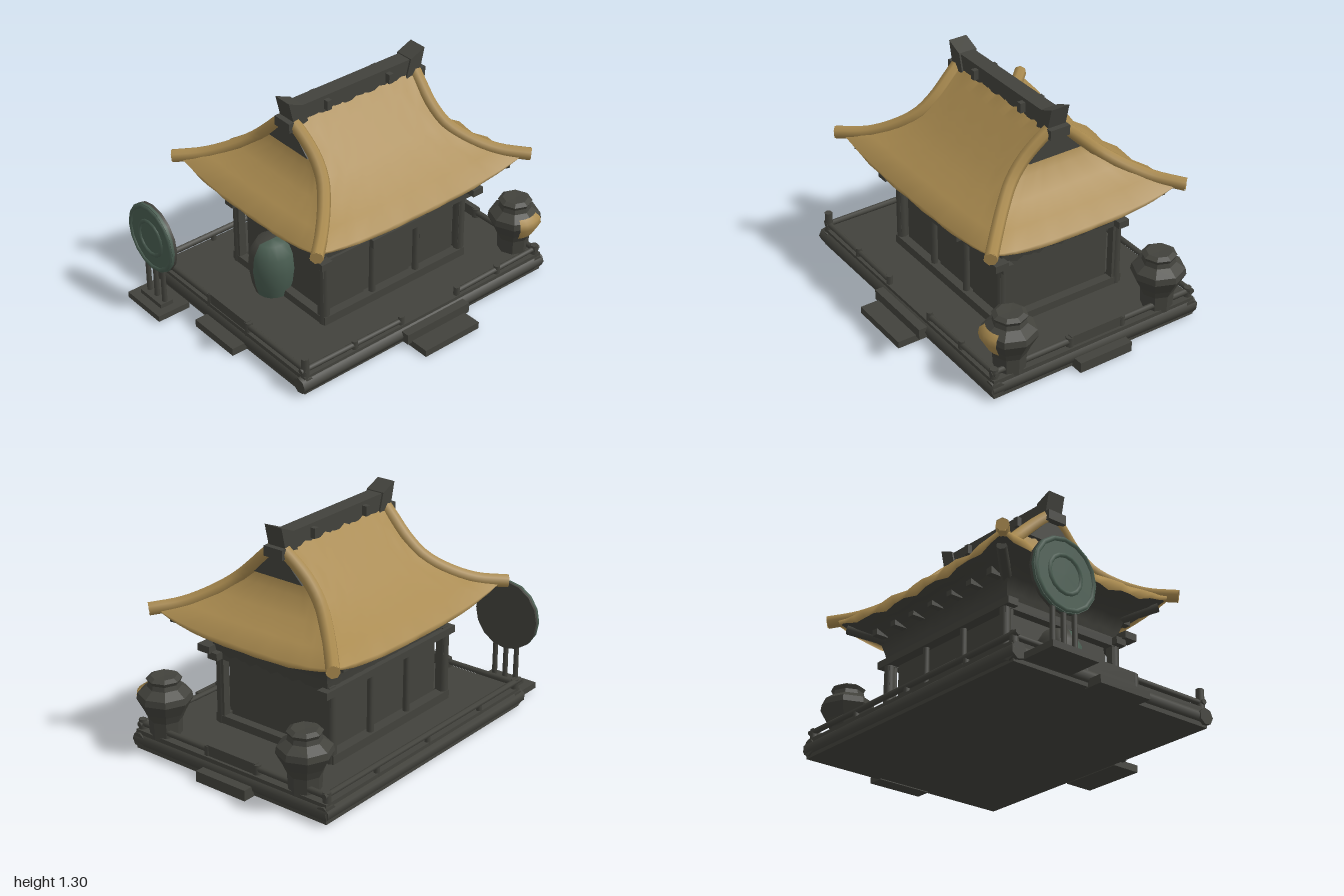
import * as THREE from 'three';

const dark = new THREE.MeshStandardMaterial({ color: 0x42423c, side: THREE.DoubleSide });
dark.name = 'charcoal timber';
const gold = new THREE.MeshStandardMaterial({ color: 0xa98a4f, side: THREE.DoubleSide });
gold.name = 'straw gold';
const green = new THREE.MeshStandardMaterial({ color: 0x485c50, side: THREE.DoubleSide });
green.name = 'bronze green';

const CX = 0.09, CZ = -0.08; // centre of the building

export function createModel() {
  const model = new THREE.Group();
  model.name = 'shrine';

  const add = (name, geometry, material, x = 0, y = 0, z = 0) => {
    const mesh = new THREE.Mesh(geometry, material);
    mesh.name = name;
    mesh.position.set(x, y, z);
    model.add(mesh);
    return mesh;
  };
  // Box given by its limits on each axis
  const box = (name, x0, x1, y0, y1, z0, z1) =>
    add(name, new THREE.BoxGeometry(x1 - x0, y1 - y0, z1 - z0), dark,
      (x0 + x1) / 2, (y0 + y1) / 2, (z0 + z1) / 2);
  // Round log between two points
  const log = (name, a, b, r) => {
    const p = new THREE.Vector3(...a), q = new THREE.Vector3(...b);
    const d = q.clone().sub(p);
    const mesh = add(name, new THREE.CylinderGeometry(r, r * 1.1, d.length(), 7), dark);
    mesh.position.copy(p).add(q).multiplyScalar(0.5);
    mesh.quaternion.setFromUnitVectors(new THREE.Vector3(0, 1, 0), d.normalize());
    return mesh;
  };
  // Four curved sides swept through rectangular levels [halfX, halfZ, y, cornerLift]
  const sweptSides = (name, levels, material, wobble) => {
    for (let k = 0; k < 4; k++) {
      const rows = levels.length - 1, cols = 16;
      const g = new THREE.PlaneGeometry(2, 1, cols, rows);
      const p = g.attributes.position;
      for (let i = 0; i < p.count; i++) {
        const u = p.getX(i);
        const row = Math.round((p.getY(i) + 0.5) * rows);
        const [hx, hz, y, lift = 0] = levels[row];
        const n = (1 - u ** 4) * wobble * Math.sin(u * 17 + k * 2.3 + row * 1.9);
        const ax = hx + n, az = hz + n;
        const x = [u * hx, ax, -u * hx, -ax][k];
        const z = [az, -u * hz, -az, u * hz][k];
        p.setXYZ(i, CX + x, y + lift * Math.abs(u) ** 3 + n * 0.8, CZ + z);
      }
      g.computeVertexNormals();
      add(name, g, material);
    }
  };

  // Deck, edge logs and steps
  box('deck', -0.77, 0.92, 0.005, 0.115, -0.72, 0.57);
  for (const z of [-0.7, 0.55]) log('deckEdge', [-0.79, 0.06, z], [0.93, 0.06, z], 0.042);
  for (const x of [-0.745, 0.895]) log('deckEdge', [x, 0.06, -0.73], [x, 0.06, 0.58], 0.042);
  box('frontStep', -0.09, 0.29, 0, 0.04, 0.57, 0.74);
  box('frontUpperStep', -0.12, 0.32, 0.03, 0.09, 0.56, 0.63);
  box('sideStep', -0.86, -0.75, 0, 0.045, -0.25, 0.08);
  box('sideStep', 0.9, 0.99, 0, 0.06, -0.25, 0.08);

  // Railings, open at the front steps
  const railY = 0.145;
  log('railBack', [-0.79, 0.155, -0.705], [0.92, 0.155, -0.705], 0.016);
  log('railFront', [-0.78, railY, 0.55], [-0.1, railY - 0.01, 0.55], 0.014);
  log('railFront', [0.3, railY - 0.01, 0.55], [0.92, railY, 0.55], 0.014);
  for (const x of [-0.75, 0.89]) {
    log('railSide', [x, railY, -0.71], [x, railY, -0.25], 0.016);
    log('railSide', [x, railY, 0.08], [x, railY, 0.57], 0.016);
    box('railGate', x - 0.015, x + 0.015, 0.1, 0.175, -0.25, 0.08);
    for (const z of [-0.7, -0.25, 0.08, 0.55]) {
      const top = z === 0.55 && x < 0 ? 0.22 : 0.17;
      log('railPost', [x, 0.05, z], [x, top, z], 0.022);
    }
  }
  for (const x of [-0.42, -0.1, 0.3, 0.6]) log('railPost', [x, 0.05, 0.55], [x, 0.165, 0.55], 0.018);
  for (const x of [-0.4, 0.07, 0.5]) log('railPost', [x, 0.05, -0.705], [x, 0.16, -0.705], 0.016);

  // Recessed house walls, with sills, posts and beams around them
  box('walls', -0.36, 0.52, 0.1, 0.68, -0.43, 0.25);
  for (const z of [-0.46, 0.28]) {
    box('sill', -0.42, 0.58, 0.11, 0.165, z - 0.03, z + 0.03);
    box('headBeam', -0.46, 0.63, 0.495, 0.535, z - 0.03, z + 0.035);
    for (const x of [-0.4, -0.07, 0.24, 0.56])
      log('wallPost', [x, 0.1, z], [x, 0.52, z], x === -0.4 || x === 0.56 ? 0.028 : 0.018);
  }
  for (const x of [-0.4, 0.56]) {
    box('sideSill', x - 0.025, x + 0.025, 0.11, 0.16, -0.46, 0.28);
    box('sideBeam', x - 0.025, x + 0.025, 0.49, 0.54, -0.47, 0.3);
    for (const z of [-0.45, 0.275]) box('sideJamb', x - 0.022, x + 0.022, 0.14, 0.5, z - 0.025, z + 0.025);
  }
  for (const x of [-0.235, 0.085, 0.4]) box('frontPanel', x - 0.12, x + 0.12, 0.17, 0.47, 0.25, 0.265);
  box('doorLintel', -0.12, 0.25, 0.495, 0.545, 0.3, 0.345);
  for (const x of [-0.45, 0.61]) box('beamEnd', x - 0.035, x + 0.035, 0.53, 0.57, 0.29, 0.37);
  sweptSides('frieze', [[0.49, 0.375, 0.5], [0.51, 0.385, 0.58], [0.535, 0.405, 0.66],
    [0.63, 0.51, 0.69, 0.03], [0.69, 0.57, 0.72, 0.05]], dark, 0.006);
  // Brackets under the eaves
  for (const sx of [-1, 1])
    for (const sz of [-1, 1])
      log('cornerBracket', [CX + sx * 0.5, 0.66, CZ + sz * 0.38], [CX + sx * 0.65, 0.73, CZ + sz * 0.54], 0.028);
  for (let i = 0; i < 7; i++) {
    const x = CX - 0.48 + i * 0.16;
    for (const s of [-1, 1]) box('eaveBracket', x - 0.02, x + 0.02, 0.655, 0.695, CZ + s * 0.43 - 0.05, CZ + s * 0.43 + 0.05);
  }

  // Thatched roof
  sweptSides('roof', [[0.7, 0.575, 0.695, 0.07], [0.715, 0.59, 0.735, 0.05], [0.61, 0.49, 0.795, 0.02],
    [0.5, 0.375, 0.865, 0.01], [0.425, 0.275, 0.945], [0.4, 0.185, 1.03], [0.405, 0.1, 1.11],
    [0.42, 0.03, 1.18]], gold, 0.01);
  for (const sx of [-1, 1]) {
    for (const sz of [-1, 1]) {
      const path = new THREE.CatmullRomCurve3([[0.74, 0.61, 0.785], [0.61, 0.49, 0.81], [0.5, 0.375, 0.87],
        [0.425, 0.275, 0.945], [0.4, 0.185, 1.03], [0.405, 0.1, 1.11], [0.415, 0.035, 1.165]]
        .map(([x, z, y]) => new THREE.Vector3(CX + sx * x, y, CZ + sz * z)));
      add('hipRoll', new THREE.TubeGeometry(path, 18, 0.036, 7), gold);
      const cap = add('hipRollEnd', new THREE.CircleGeometry(0.036, 7), gold,
        CX + sx * 0.74, 0.785, CZ + sz * 0.61);
      cap.rotation.y = Math.atan2(sx * 0.13, sz * 0.12);
    }
    // Gable triangle set between the hip rolls
    const tri = new THREE.Shape([[-0.16, 1.01], [0.16, 1.01], [0, 1.17]]
      .map(([x, y]) => new THREE.Vector2(x, y)));
    const gable = add('gable', new THREE.ExtrudeGeometry(tri, { depth: 0.03, bevelEnabled: false }), dark,
      CX + sx * 0.413 - 0.015, 0, CZ);
    gable.rotation.y = Math.PI / 2;
  }

  // Ridge beam with flared ends
  box('ridge', -0.32, 0.52, 1.16, 1.255, -0.125, -0.035);
  box('ridgeBase', -0.36, 0.55, 1.13, 1.185, -0.11, -0.05);
  for (const s of [-1, 1]) {
    const end = new THREE.Shape([[-0.06, 0], [0.03, 0], [0.065, 0.15], [-0.03, 0.11]]
      .map(([x, y]) => new THREE.Vector2(s * x, y)));
    add('ridgeEnd', new THREE.ExtrudeGeometry(end, { depth: 0.11, bevelEnabled: false }), dark,
      CX + s * 0.395, 1.15, -0.135);
    const x = CX + s * 0.445;
    box('ridgePin', x - 0.02, x + 0.02, 1.13, 1.185, -0.14, -0.02);
    const px = CX + s * 0.21;
    box('ridgePeg', px - 0.015, px + 0.015, 1.18, 1.235, -0.155, -0.005);
  }

  // Angular stone urns on the right-hand corners
  const lathe = (pts, sides, start = 0, sweep = Math.PI * 2) =>
    new THREE.LatheGeometry(pts.map(([r, y]) => new THREE.Vector2(r, y)), sides, start, sweep);
  const faceted = (geometry) => {
    const g = geometry.toNonIndexed();
    g.computeVertexNormals();
    return g;
  };
  const urn = [[0.085, 0.1], [0.09, 0.2], [0.11, 0.245], [0.148, 0.315], [0.142, 0.35],
    [0.092, 0.385], [0.085, 0.41], [0.095, 0.43], [0.07, 0.445], [0, 0.44]];
  for (const z of [-0.525, 0.425]) add('urn', faceted(lathe(urn, 8)), dark, 0.845, 0, z);
  const patch = [[0.113, 0.245], [0.152, 0.315], [0.146, 0.352], [0.118, 0.372]];
  add('urnPatch', lathe(patch, 4, -0.55, 1.1), gold, 0.84, 0, 0.429);

  // Barrel against the left wall, bronze on its front half
  const barrel = [[0.09, 0.1], [0.115, 0.18], [0.13, 0.28], [0.12, 0.37], [0.08, 0.44], [0, 0.44]];
  add('barrelFront', lathe(barrel, 8, -Math.PI / 2, Math.PI), green, -0.425, 0, -0.13);
  add('barrelBack', lathe(barrel, 8, Math.PI / 2, Math.PI), dark, -0.425, 0, -0.13);

  // Gong on its stand, bronze outside and charcoal inside
  box('gongBase', -1, -0.8, 0.015, 0.05, -0.68, -0.39);
  box('gongFoot', -0.95, -0.87, 0.04, 0.075, -0.63, -0.44);
  for (const z of [-0.6, -0.53, -0.46]) log('gongPost', [-0.91, 0.05, z], [-0.91, 0.31, z], 0.014);
  for (const [name, material, x] of [['gongFace', green, -0.918], ['gongBack', dark, -0.902]]) {
    const disc = add(name, new THREE.CylinderGeometry(0.2, 0.2, 0.016, 16), material, x, 0.457, -0.53);
    disc.rotation.z = Math.PI / 2;
  }
  for (const r of [0.185, 0.1]) {
    const ring = add('gongRing', new THREE.TorusGeometry(r, 0.014, 6, 16), green, -0.922, 0.457, -0.53);
    ring.rotation.y = Math.PI / 2;
  }
  return model;
}
